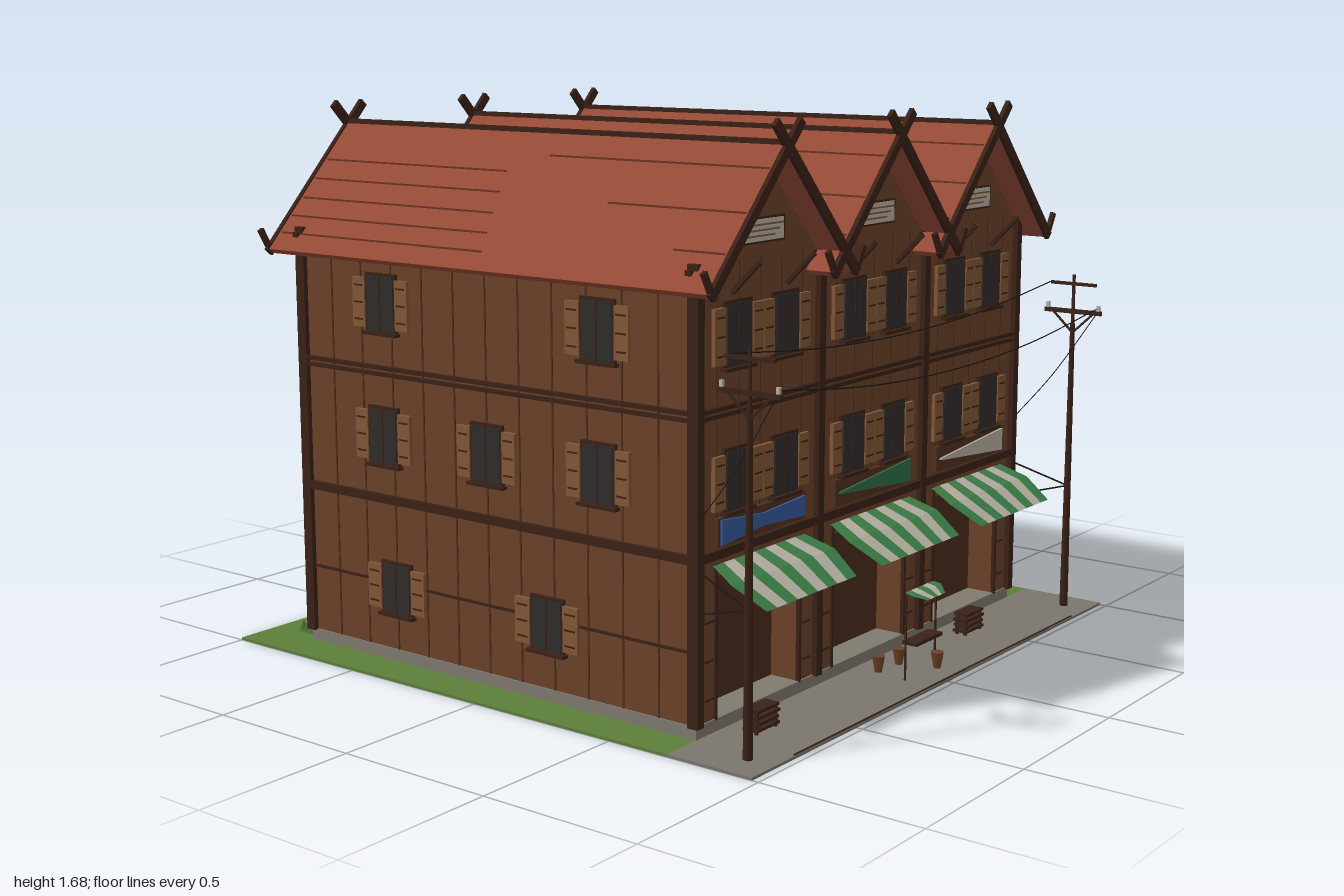
import * as THREE from 'three';

const mat = (color, side = THREE.FrontSide) => new THREE.MeshStandardMaterial({ color, side });
const M = {
  wall: mat(0x6b4228), dark: mat(0x3a2217), recess: mat(0x4a2b1d), seam: mat(0x50301e),
  roof: mat(0x964a36), tile: mat(0x6a3226), glass: mat(0x302d2c), shutter: mat(0x835937),
  plinth: mat(0x807a70), grass: mat(0x5b7f39), paving: mat(0x7b766d), wire: mat(0x1c1714),
  green: mat(0x3c7f47, THREE.DoubleSide), cream: mat(0xb9b3a5, THREE.DoubleSide),
  blue: mat(0x345a9c), signGreen: mat(0x2e7048), leaf: mat(0x4a7438),
};
const BAYS = [-0.575, 0, 0.575], FRONT = 0.695, BACK = -0.81, HALF = 0.865;
const MIDZ = (FRONT + BACK) / 2, DEPTH = FRONT - BACK;
const V = (x, y, z) => new THREE.Vector3(x, y, z);

function add(parent, name, geo, m) {
  const mesh = new THREE.Mesh(geo, m);
  mesh.name = name;
  parent.add(mesh);
  return mesh;
}
function box(parent, name, m, w, h, d, x, y, z) {
  const b = add(parent, name, new THREE.BoxGeometry(w, h, d), m);
  b.position.set(x, y, z);
  return b;
}
// Box stretched between two points
function beam(parent, name, m, p, q, w, d = w) {
  const dir = q.clone().sub(p);
  const b = box(parent, name, m, w, dir.length(), d, 0, 0, 0);
  b.position.copy(p).add(q).multiplyScalar(0.5);
  b.quaternion.setFromUnitVectors(V(0, 1, 0), dir.normalize());
  return b;
}
function extrude(parent, name, m, pts, depth, z) {
  const shape = new THREE.Shape(pts.map(([x, y]) => new THREE.Vector2(x, y)));
  const e = add(parent, name, new THREE.ExtrudeGeometry(shape, { depth, bevelEnabled: false }), m);
  e.position.z = z;
  return e;
}
function tube(parent, name, pts, r = 0.002) {
  return add(parent, name, new THREE.TubeGeometry(new THREE.CatmullRomCurve3(pts), 20, r, 4), M.wire);
}

// Shuttered window facing +z
function makeWindow(parent, x, y, z, turn, h = 0.17, sw = 0.05) {
  const g = new THREE.Group();
  g.name = 'window';
  box(g, 'windowFrame', M.dark, 0.125, h + 0.012, 0.012, 0, 0, 0);
  box(g, 'windowPane', M.glass, 0.108, h - 0.006, 0.012, 0, 0, 0.003);
  box(g, 'mullion', M.dark, 0.006, h, 0.012, 0, 0, 0.005);
  box(g, 'sill', M.dark, 0.14, 0.01, 0.025, 0, -h / 2 - 0.005, 0.006);
  for (const s of [-1, 1]) {
    const sx = s * (0.0625 + sw / 2);
    box(g, 'shutter', M.shutter, sw, h - 0.02, 0.012, sx, 0, 0.004);
    for (const k of [-1, 0, 1]) box(g, 'shutterBar', M.dark, sw * 0.7, 0.005, 0.012, sx, k * h * 0.3, 0.006);
  }
  g.position.set(x, y, z);
  g.rotation.y = turn;
  parent.add(g);
}

function makeHouse(root) {
  const g = new THREE.Group();
  g.name = 'house';
  root.add(g);
  // Gabled body, then a front layer notched for the shop openings
  const gables = [[HALF, 1.32]];
  for (const c of [...BAYS].reverse()) gables.push([c, 1.615], [c === -0.575 ? -HALF : c - 0.2875, 1.32]);
  extrude(g, 'body', M.wall, [[-HALF, 0.065], [HALF, 0.065], ...gables], DEPTH - 0.1, BACK);
  const base = [[-HALF, 0.065]];
  for (const c of BAYS) base.push([c - 0.2, 0.065], [c - 0.2, 0.47], [c + 0.2, 0.47], [c + 0.2, 0.065]);
  extrude(g, 'shopFront', M.wall, [...base, [HALF, 0.065], ...gables], 0.1, FRONT - 0.1);
  box(g, 'plinth', M.plinth, 1.74, 0.04, DEPTH + 0.01, 0, 0.048, MIDZ);

  // Horizontal beams around all walls
  for (const [y, h, t] of [[0.535, 0.025, 0.03], [0.935, 0.012, 0.03], [0.915, 0.012, 0.02], [0.275, 0.008, 0.01]]) {
    for (const s of [-1, 1]) box(g, 'sideBeam', M.dark, t, h, DEPTH, s * HALF, y, MIDZ);
    box(g, 'backBeam', M.dark, HALF * 2, h, t, 0, y, BACK);
    if (y > 0.3) box(g, 'frontBeam', M.dark, HALF * 2, h, t, 0, y, FRONT);
  }
  // Posts and plank seams
  for (const z of [FRONT, BACK]) {
    for (const x of [-HALF, -0.2875, 0.2875, HALF]) box(g, 'post', M.dark, 0.03, 1.27, 0.035, x, 0.7, z);
    for (const c of BAYS) for (const k of [-2, -1, 0, 1, 2])
      box(g, 'plankSeam', M.seam, 0.005, z > 0 ? 0.8 : 1.27, 0.006, c + k * 0.1, z > 0 ? 0.93 : 0.7, z);
  }
  for (const s of [-1, 1]) for (let i = 1; i < 12; i++)
    box(g, 'plankSeam', M.seam, 0.006, 1.25, 0.005, s * HALF, 0.69, BACK + i * DEPTH / 12);

  // Side windows
  for (const s of [-1, 1]) {
    const t = s * Math.PI / 2, x = s * (HALF + 0.004);
    for (const z of [0.364, -0.47]) makeWindow(g, x, 1.128, z, t);
    for (const z of [0.364, -0.053, -0.47]) makeWindow(g, x, 0.727, z, t);
    for (const z of [0.17, -0.43]) makeWindow(g, x, 0.26, z, t, 0.155, 0.055);
  }

  BAYS.forEach((c, i) => {
    // Front windows, gable vent
    for (const s of [-1, 1]) {
      makeWindow(g, c + s * 0.113, 1.13, FRONT + 0.005, 0, 0.175);
      makeWindow(g, c + s * 0.113, 0.73, FRONT + 0.005, 0, 0.17);
    }
    box(g, 'gableVent', M.dark, 0.21, 0.072, 0.016, c, 1.4, FRONT);
    box(g, 'ventPanel', M.cream, 0.195, 0.06, 0.02, c, 1.4, FRONT);
    for (const k of [-1, 0, 1]) box(g, 'ventSlat', M.shutter, 0.15, 0.005, 0.024, c + k * 0.02, 1.4 + k * 0.015, FRONT);

    // Shop opening, jambs and sign
    box(g, 'shopInterior', M.recess, 0.4, 0.4, 0.006, c, 0.267, FRONT - 0.097);
    for (const s of [-1, 1]) {
      box(g, 'jamb', M.dark, 0.01, 0.44, 0.012, c + s * 0.203, 0.285, FRONT);
      for (const y of [0.13, 0.24, 0.35]) box(g, 'jambBar', M.dark, 0.04, 0.006, 0.01, c + s * 0.235, y, FRONT);
    }
    box(g, 'signBoard', M.seam, 0.42, 0.08, 0.02, c, 0.595, FRONT + 0.005);
    const wedge = (a, b, ha, hb) => extrude(g, 'signFace', [M.blue, M.signGreen, M.cream][i],
      [[c + a, 0.595 - ha], [c + b, 0.595 - hb], [c + b, 0.595 + hb], [c + a, 0.595 + ha]], 0.012, FRONT + 0.01);
    if (i === 0) {
      wedge(-0.2, 0, 0.036, 0.018);
      wedge(0, 0.2, 0.018, 0.03);
    } else wedge(-0.19, 0.2, 0.003, 0.036);
    makeAwning(g, c, 9, [[0.22, 0.505, 0.7], [0.248, 0.47, 0.785], [0.22, 0.41, 0.88]]);

    // Back door
    const door = new THREE.Group();
    door.name = 'backDoor';
    g.add(door);
    box(door, 'doorPanel', M.seam, 0.12, 0.25, 0.01, c, 0.19, BACK);
    for (const k of [-1, 0, 1]) {
      box(door, 'doorStile', M.dark, 0.006, 0.25, 0.016, c + k * 0.06, 0.19, BACK);
      box(door, 'doorRail', M.dark, 0.12, 0.006, 0.016, c, 0.2 + k * 0.115, BACK);
    }
    makeRoof(g, c);
  });
}

// Striped cloth; each row is [half width, y, z]
function makeAwning(parent, c, n, rows) {
  const g = new THREE.Group();
  g.name = 'awning';
  parent.add(g);
  for (let i = 0; i < n; i++) {
    const pos = [], idx = [];
    rows.forEach(([w, y, z], r) => {
      for (const k of [i, i + 1]) pos.push(c + w * (2 * k / n - 1), y, z);
      if (r) idx.push(2 * r - 2, 2 * r, 2 * r - 1, 2 * r, 2 * r + 1, 2 * r - 1);
    });
    const geo = new THREE.BufferGeometry();
    geo.setAttribute('position', new THREE.Float32BufferAttribute(pos, 3));
    geo.setIndex(idx);
    const flat = geo.toNonIndexed();
    flat.computeVertexNormals();
    add(g, 'awningStripe', flat, i % 2 ? M.cream : M.green);
  }
}

function makeRoof(parent, c) {
  const g = new THREE.Group();
  g.name = 'roof';
  parent.add(g);
  for (const s of [-1, 1]) {
    // Point on the slope: t from ridge to eave
    const at = (t, z, up = 0) => V(c + s * (0.345 * t + up * 0.73), 1.63 - 0.37 * t + up * 0.68, z);
    beam(g, 'roofSlope', M.roof, at(0, -0.055), at(1, -0.055), 0.02, 1.67);
    // Dark tile courses
    [0.3, 0.45, 0.6, 0.74, 0.87].forEach((t, i) => {
      beam(g, 'tileLine', M.tile, at(t, -0.88, 0.01), at(t, -0.13 + 0.02 * i, 0.01), 0.005);
      if (i % 2 === 0) beam(g, 'tileLine', M.tile, at(t - 0.13, 0.77, 0.01), at(t - 0.13, 0.15 * i, 0.01), 0.005);
    });
    for (const z of [0.69, -0.81]) {
      const b = at(0.88, z, 0.012);
      box(g, 'roofPeg', M.dark, 0.015, 0.015, 0.02, b.x, b.y, z);
    }
    // Crossed bargeboards with upturned ends
    for (const z of [0.785, -0.898]) {
      beam(g, 'bargeboard', M.dark, at(-0.18, z), at(1.01, z), 0.028, 0.014);
      beam(g, 'bargeTip', M.dark, at(0.99, z), V(c + s * 0.378, 1.328, z), 0.016, 0.014);
    }
    // Eave brackets
    for (const [w, o] of [[FRONT, 0.785], [BACK, -0.895]])
      beam(g, 'eaveBracket', M.dark, V(c + s * 0.13, 1.24, w), V(c + s * 0.13, 1.33, o), 0.012);
  }
  box(g, 'ridgeCap', M.dark, 0.022, 0.018, 1.67, c, 1.638, -0.055);
}

function makeStreet(root) {
  const g = new THREE.Group();
  g.name = 'street';
  root.add(g);
  box(g, 'grass', M.grass, 2, 0.008, 1.7, 0, 0.028, -0.15);
  box(g, 'pavement', M.paving, 2, 0.008, 0.28, 0, 0.028, 0.84);
  box(g, 'kerb', M.dark, 1.6, 0.003, 0.006, 0, 0.033, 0.975);

  // Utility poles with cross arms and wires
  for (const s of [-1, 1]) {
    const x = s * 0.9, z = 0.895;
    add(g, 'pole', new THREE.CylinderGeometry(0.008, 0.014, 0.95, 8), M.dark).position.set(x, 0.505, z);
    box(g, 'poleTop', M.dark, 0.008, 0.18, 0.008, x, 1.05, z);
    box(g, 'crossArm', M.dark, 0.012, 0.014, 0.2, x, 1.02, z);
    box(g, 'crossArm', M.dark, 0.01, 0.01, 0.16, x, 1.11, z);
    for (const k of [-1, 1]) {
      beam(g, 'armBrace', M.dark, V(x, 0.95, z), V(x, 1.02, z + k * 0.075), 0.006);
      box(g, 'insulator', M.cream, 0.01, 0.02, 0.01, x, 1.035, z + k * 0.09);
    }
    tube(g, 'houseWire', [V(x, 1.02, 0.98), V(s * 0.88, 0.81, 0.84), V(s * 0.86, 0.64, 0.7)], 0.0015);
    for (const y of [0.505, 0.385]) beam(g, 'poleStay', M.wire, V(x, 0.44, z), V(s * 0.86, y, 0.7), 0.004);
  }
  for (const [y, dip, z] of [[1.115, 0.06, 0.82], [1.035, 0.07, 0.98]])
    tube(g, 'streetWire', [V(-0.9, y, z), V(-0.45, y - dip * 0.75, z), V(0, y - dip, z), V(0.45, y - dip * 0.75, z), V(0.9, y, z)]);

  // Slatted crates by the outer shops
  for (const x of [-0.69, 0.45]) for (let i = 0; i < 4; i++) {
    box(g, 'crateSlat', M.dark, 0.11 - 0.01 * (i % 2), 0.008, 0.05, x, 0.045 + 0.018 * i, 0.79);
    if (i < 2) for (const k of [-1, 1]) box(g, 'crateLeg', M.dark, 0.008, 0.065, 0.01, x + k * 0.045, 0.065, 0.775 + i * 0.03);
  }
  // Small covered stall with stools
  makeAwning(g, -0.01, 5, [[0.08, 0.3, 0.88], [0.085, 0.295, 0.905], [0.05, 0.28, 0.94]]);
  for (const x of [-0.09, 0.08]) box(g, 'stallPost', M.dark, 0.005, 0.26, 0.005, x, 0.162, 0.885);
  box(g, 'stallCounter', M.dark, 0.15, 0.01, 0.05, -0.01, 0.145, 0.895);
  for (const [x, z] of [[-0.07, 0.78], [0.03, 0.79], [0.07, 0.9]]) {
    const seat = add(g, 'stool', new THREE.CylinderGeometry(0.022, 0.012, 0.05, 6), M.wall);
    seat.position.set(x, 0.058, z);
  }
  // Low shrubs behind the house
  for (const x of [-0.83, 0.83]) for (const k of [-1, 0, 1])
    add(g, 'shrub', new THREE.ConeGeometry(0.018, 0.035 + 0.01 * (1 - k * k), 5), M.leaf).position.set(x, 0.05, -0.88 + k * 0.02);
}

export function createModel() {
  const root = new THREE.Group();
  root.name = 'rowHouse';
  makeHouse(root);
  makeStreet(root);
  return root;
}
